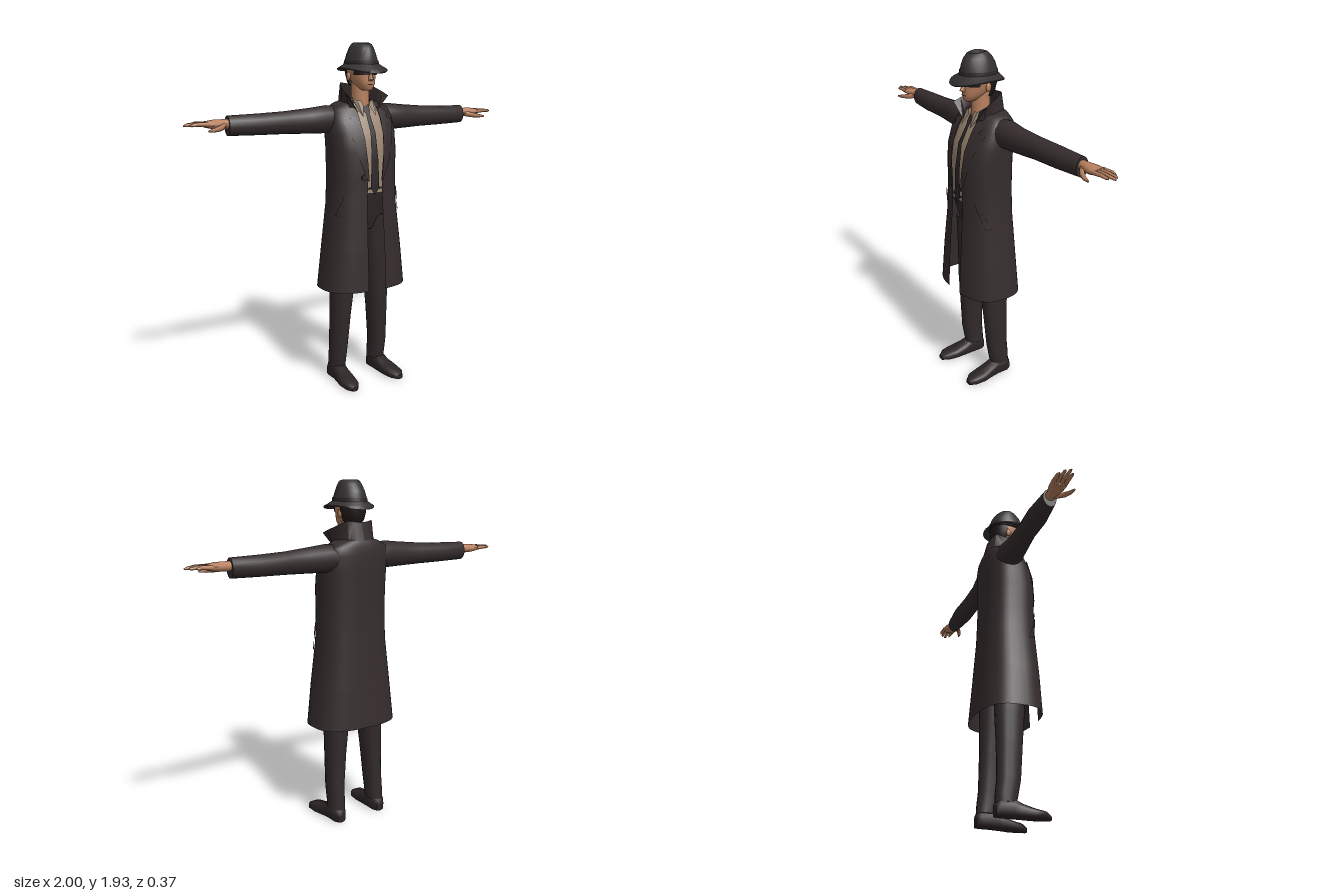
import * as THREE from 'three';
import { toCreasedNormals } from 'three/addons/utils/BufferGeometryUtils.js';

const mat = (name, color) => {
  const m = new THREE.MeshStandardMaterial({ color, side: THREE.DoubleSide });
  m.name = name;
  return m;
};

// Skin a surface over rings of [x, y, z] points
function loft(rings, { closed = true, caps = closed, crease = 0.9 } = {}) {
  const n = rings[0].length, pos = rings.flat(2), idx = [];
  const cols = closed ? n : n - 1;
  for (let i = 0; i < rings.length - 1; i++)
    for (let j = 0; j < cols; j++) {
      const k = (j + 1) % n, a = i * n + j, b = i * n + k, c = a + n, d = b + n;
      idx.push(a, b, d, a, d, c);
    }
  if (caps) [0, rings.length - 1].forEach((r, end) => {
    const mid = [0, 1, 2].map(q => rings[r].reduce((s, p) => s + p[q], 0) / n);
    const m = pos.length / 3;
    pos.push(...mid);
    for (let j = 0; j < n; j++) {
      const a = r * n + j, b = r * n + (j + 1) % n;
      end ? idx.push(a, b, m) : idx.push(b, a, m);
    }
  });
  const g = new THREE.BufferGeometry();
  g.setAttribute('position', new THREE.Float32BufferAttribute(pos, 3));
  g.setIndex(idx);
  return toCreasedNormals(g, crease);
}

const sp = (v, e) => Math.sign(v) * Math.abs(v) ** e;

// Horizontal superellipse arc; angle 0 faces the front
function oval(y, w, zf, zb, { cx = 0, e = 1, n = 24, from = 0, to = null } = {}) {
  const full = to === null, end = full ? Math.PI * 2 : to, out = [];
  for (let j = 0; j < n; j++) {
    const t = from + (end - from) * j / (full ? n : n - 1);
    out.push([cx + w * sp(Math.sin(t), e), y, (zf + zb) / 2 + (zf - zb) / 2 * sp(Math.cos(t), e)]);
  }
  return out;
}

// Rings along x: [x, y, z, half height, half depth]
const limb = (rows, n = 14) => loft(rows.map(([x, y, z, ry, rz]) =>
  Array.from({ length: n }, (_, j) => {
    const t = j / n * Math.PI * 2;
    return [x, y + ry * Math.cos(t), z + rz * Math.sin(t)];
  })));

// Coat profile: y, half width, front z, back z, half opening
const E = 0.75;
const COAT = [
  [0.57, 0.255, 0.175, -0.18, 0.055], [0.8, 0.23, 0.165, -0.165, 0.055],
  [1.05, 0.2, 0.148, -0.15, 0.05], [1.2, 0.195, 0.145, -0.146, 0.045],
  [1.35, 0.198, 0.145, -0.146, 0.057], [1.45, 0.2, 0.125, -0.148, 0.065],
  [1.53, 0.198, 0.085, -0.148, 0.07], [1.575, 0.185, 0.055, -0.143, 0.07],
  [1.605, 0.13, 0.035, -0.135, 0.065], [1.618, 0.085, 0.02, -0.125, 0.055]];

function coatAt(y) {
  let i = 0;
  while (i < COAT.length - 2 && COAT[i + 1][0] < y) i++;
  const a = COAT[i], b = COAT[i + 1], t = (y - a[0]) / (b[0] - a[0]);
  return a.map((v, k) => v + (b[k] - v) * t);
}

// Thin patch lying on the coat front; rows of [y, inner x, outer x]
const patch = (rows, lift) => loft(rows.map(([y, x0, x1]) => {
  const [, w, zf, zb] = coatAt(y);
  return [0, 1, 2, 3, 4].map(k => {
    const x = x0 + (x1 - x0) * k / 4;
    const c = Math.max(0, 1 - (Math.abs(x) / w) ** (2 / E)) ** (E / 2);
    return [x, y, (zf + zb) / 2 + (zf - zb) / 2 * c + lift];
  });
}), { closed: false });

export function createModel() {
  const coat = mat('coat cloth', 0x352c2d), trousers = mat('trouser cloth', 0x322a2b);
  const hatFelt = mat('hat felt', 0x343031), shoe = mat('shoe leather', 0x2c2425);
  const skin = mat('skin', 0xb8805f), shirt = mat('shirt cloth', 0x9a8470);
  const tie = mat('tie cloth', 0x2b2629), hair = mat('hair', 0x1f1817);
  const root = new THREE.Group();
  const add = (name, geo, m, parent = root) => {
    const mesh = new THREE.Mesh(geo, m);
    mesh.name = name;
    parent.add(mesh);
    return mesh;
  };

  // Long open coat
  add('coat', loft(COAT.map(([y, w, zf, zb, g]) => {
    const a = Math.asin((g / w) ** (1 / E));
    return oval(y, w, zf, zb, { e: E, n: 41, from: a, to: Math.PI * 2 - a });
  }), { closed: false }), coat);

  // Shirt, tie and hips
  add('shirt', loft([1.12, 1.2, 1.35, 1.45, 1.53, 1.575, 1.605].map(y => {
    const [, w, zf, zb] = coatAt(y);
    return oval(y, w * 0.8, zf - 0.012, zb + 0.03, { e: E });
  })), shirt);
  add('tie', patch([[1.11, -0.002, 0.002], [1.15, -0.028, 0.028], [1.3, -0.022, 0.022],
    [1.45, -0.016, 0.016], [1.55, -0.012, 0.012], [1.56, -0.02, 0.02], [1.6, -0.024, 0.024]], 0), tie);
  add('hips', loft([oval(0.9, 0.15, 0.06, -0.1), oval(1.0, 0.165, 0.1, -0.11),
    oval(1.15, 0.165, 0.137, -0.11, { e: E })]), trousers);

  // Mirrored parts, built on the +x side
  for (const side of [1, -1]) {
    const half = new THREE.Group();
    half.name = side > 0 ? 'leftSide' : 'rightSide';
    half.scale.x = side;
    root.add(half);

    add('sleeve', limb([[0.13, 1.52, -0.05, 0.07, 0.07], [0.2, 1.52, -0.045, 0.076, 0.074],
      [0.3, 1.516, -0.045, 0.069, 0.061], [0.45, 1.512, -0.055, 0.06, 0.052],
      [0.6, 1.51, -0.06, 0.056, 0.058], [0.765, 1.51, -0.065, 0.052, 0.038]], 18), coat, half);

    // Hand
    add('palm', limb([[0.75, 1.52, -0.064, 0.026, 0.026], [0.79, 1.52, -0.064, 0.025, 0.028],
      [0.84, 1.521, -0.064, 0.024, 0.042], [0.885, 1.522, -0.065, 0.016, 0.044]]), skin, half);
    [[-0.098, 0.955], [-0.078, 0.985], [-0.055, 1.0], [-0.032, 0.975]].forEach(([z, tip]) =>
      add('finger', limb([[0.87, 1.523, z, 0.013, 0.012], [0.93, 1.526, z - 0.001, 0.01, 0.01],
        [tip - 0.012, 1.523, z - 0.002, 0.008, 0.008], [tip, 1.521, z - 0.002, 0.003, 0.003]], 8), skin, half));
    add('thumb', limb([[0.785, 1.512, -0.045, 0.016, 0.016], [0.82, 1.504, -0.016, 0.015, 0.016],
      [0.86, 1.498, 0.004, 0.011, 0.011], [0.895, 1.495, 0.012, 0.005, 0.005]], 8), skin, half);

    // Lapel and slanted pocket welt
    add('lapel', patch([[1.19, 0.04, 0.05], [1.3, 0.05, 0.095], [1.42, 0.06, 0.13], [1.5, 0.066, 0.155],
      [1.515, 0.067, 0.158], [1.53, 0.067, 0.115], [1.55, 0.067, 0.138], [1.585, 0.067, 0.1]], 0.009), coat, half);
    add('pocketWelt', loft([0, 1, 2, 3].map(k => {
      const y = 1.0 + k * 0.047, [, w, zf, zb] = coatAt(y), t = 1.2 - k * 0.15;
      return oval(y, w + 0.006, zf + 0.006, zb, { e: E, n: 4, from: t - 0.1, to: t + 0.1 });
    }), { closed: false }), coat, half);

    // Upturned coat collar
    const top = [[0.125, 1.645, 0.085], [0.122, 1.662, 0.04], [0.105, 1.69, -0.03], [0.08, 1.715, -0.088], [0.04, 1.71, -0.104], [0, 1.705, -0.108]];
    const low = [[0.06, 1.56, 0.066], [0.095, 1.585, 0.035], [0.104, 1.603, -0.03], [0.082, 1.61, -0.105], [0.04, 1.61, -0.128], [0, 1.61, -0.132]];
    add('collar', loft([low, top], { closed: false }), coat, half);
    add('shirtCollar', loft([
      [[0.018, 1.595, 0.056], [0.042, 1.535, 0.092], [0.062, 1.575, 0.06]],
      [[0.03, 1.62, 0.05], [0.05, 1.62, 0.045], [0.066, 1.64, 0.01]]], { closed: false }), shirt, half);

    // Trouser leg
    add('trouserLeg', loft([[0.075, 0.135, 0.046, 0.005, -0.11], [0.12, 0.135, 0.046, 0.015, -0.108],
      [0.2, 0.134, 0.047, 0.03, -0.1], [0.4, 0.125, 0.055, 0.045, -0.1], [0.57, 0.115, 0.064, 0.06, -0.105],
      [0.78, 0.1, 0.075, 0.07, -0.11], [0.98, 0.085, 0.08, 0.085, -0.11]].map(([y, cx, w, zf, zb]) =>
      oval(y, w, zf, zb, { cx, e: 0.9, n: 16 }))), trousers, half);

    // Shoe, as sections from heel to toe: z, centre x, half width, height
    add('shoe', loft([[-0.112, 0.138, 0.026, 0.07], [-0.09, 0.138, 0.042, 0.09], [-0.02, 0.139, 0.043, 0.1],
      [0.03, 0.143, 0.046, 0.075], [0.09, 0.149, 0.052, 0.055], [0.15, 0.153, 0.044, 0.045],
      [0.185, 0.155, 0.018, 0.026]].map(([z, cx, w, h]) => Array.from({ length: 14 }, (_, j) => {
      const t = j / 14 * Math.PI * 2, c = Math.cos(t);
      return [cx - w * sp(Math.sin(t), 0.7), h / 2 + h / 2 * sp(c, c < 0 ? 0.3 : 0.9), z];
    }))), shoe, half);

    const ear = add('ear', new THREE.SphereGeometry(0.02, 10, 8), skin, half);
    ear.scale.set(0.5, 1.2, 0.8);
    ear.position.set(0.074, 1.75, -0.008);
  }

  // Coat button
  const button = add('button', new THREE.CylinderGeometry(0.016, 0.016, 0.01, 12), coat);
  button.rotation.x = Math.PI / 2;
  button.position.set(-0.07, 1.21, 0.146);

  // Head and neck
  add('neck', loft([oval(1.55, 0.055, 0.045, -0.065), oval(1.62, 0.048, 0.045, -0.06),
    oval(1.74, 0.05, 0.045, -0.06)]), skin);
  add('head', loft([[1.675, 0.022, 0.088, 0.035], [1.685, 0.034, 0.096, 0.01], [1.71, 0.052, 0.1, -0.03],
    [1.74, 0.064, 0.099, -0.075], [1.765, 0.071, 0.097, -0.086], [1.8, 0.074, 0.1, -0.09],
    [1.84, 0.068, 0.085, -0.08]].map(([y, w, zf, zb]) => oval(y, w, zf, zb, { e: 0.92 }))), skin);
  add('nose', loft([oval(1.727, 0.013, 0.108, 0.08, { n: 8 }), oval(1.735, 0.014, 0.123, 0.08, { n: 8 }),
    oval(1.755, 0.01, 0.112, 0.08, { n: 8 }), oval(1.785, 0.007, 0.101, 0.08, { n: 8 })]), skin);
  add('mouth', loft([1.706, 1.71].map(y =>
    oval(y, 0.053, 0.103, -0.03, { n: 7, from: -0.4, to: 0.4 })), { closed: false }), hair);
  add('darkGlasses', loft([1.758, 1.785].map(y =>
    oval(y, 0.076, 0.104, -0.086, { e: 0.92, n: 17, from: -1.25, to: 1.25 })), { closed: false }), hair);
  add('hair', loft([[1.695, 0.05, 0.05, -0.075], [1.72, 0.066, 0.07, -0.09], [1.76, 0.079, 0.09, -0.098],
    [1.82, 0.08, 0.09, -0.097]].map(([y, w, zf, zb]) =>
    oval(y, w, zf, zb, { n: 19, from: 1.7, to: Math.PI * 2 - 1.7 })), { closed: false }), hair);

  // Hat: pinched crown with a dented top
  const crown = [[1.8, 0.09, 0.112, -0.102], [1.83, 0.087, 0.111, -0.1], [1.87, 0.077, 0.106, -0.088],
    [1.905, 0.067, 0.094, -0.066], [1.925, 0.056, 0.076, -0.045], [1.93, 0.044, 0.06, -0.03],
    [1.912, 0.018, 0.04, -0.012]].map(([y, w, zf, zb]) => oval(y, w, zf, zb, { n: 32 }).map(([x, py, z]) => {
    const up = Math.max(0, (py - 1.82) / 0.11), front = Math.max(0, z / 0.11);
    return [x * (1 - 0.35 * up * front), py - 0.012 * up * front, z];
  }));
  add('hatCrown', loft(crown, { crease: 0.8 }), hatFelt);
  add('hatBand', loft([oval(1.808, 0.092, 0.115, -0.105, { n: 32 }), oval(1.834, 0.089, 0.113, -0.101, { n: 32 })],
    { caps: false }), tie);

  // Brim dips at front and back and lifts at the sides
  const brimRing = (w, zf, zb, y, drop) => oval(y, w, zf, zb, { n: 40 }).map(([x, py, z]) =>
    [x, py - drop * (z / 0.15) ** 2, z]);
  add('hatBrim', loft([brimRing(0.088, 0.11, -0.1, 1.804, 0), brimRing(0.112, 0.14, -0.12, 1.797, 0.016),
    brimRing(0.131, 0.166, -0.137, 1.79, 0.02), brimRing(0.131, 0.166, -0.137, 1.796, 0.02),
    brimRing(0.112, 0.14, -0.12, 1.805, 0.014), brimRing(0.088, 0.11, -0.1, 1.818, 0)],
  { caps: false }), hatFelt);

  return root;
}
